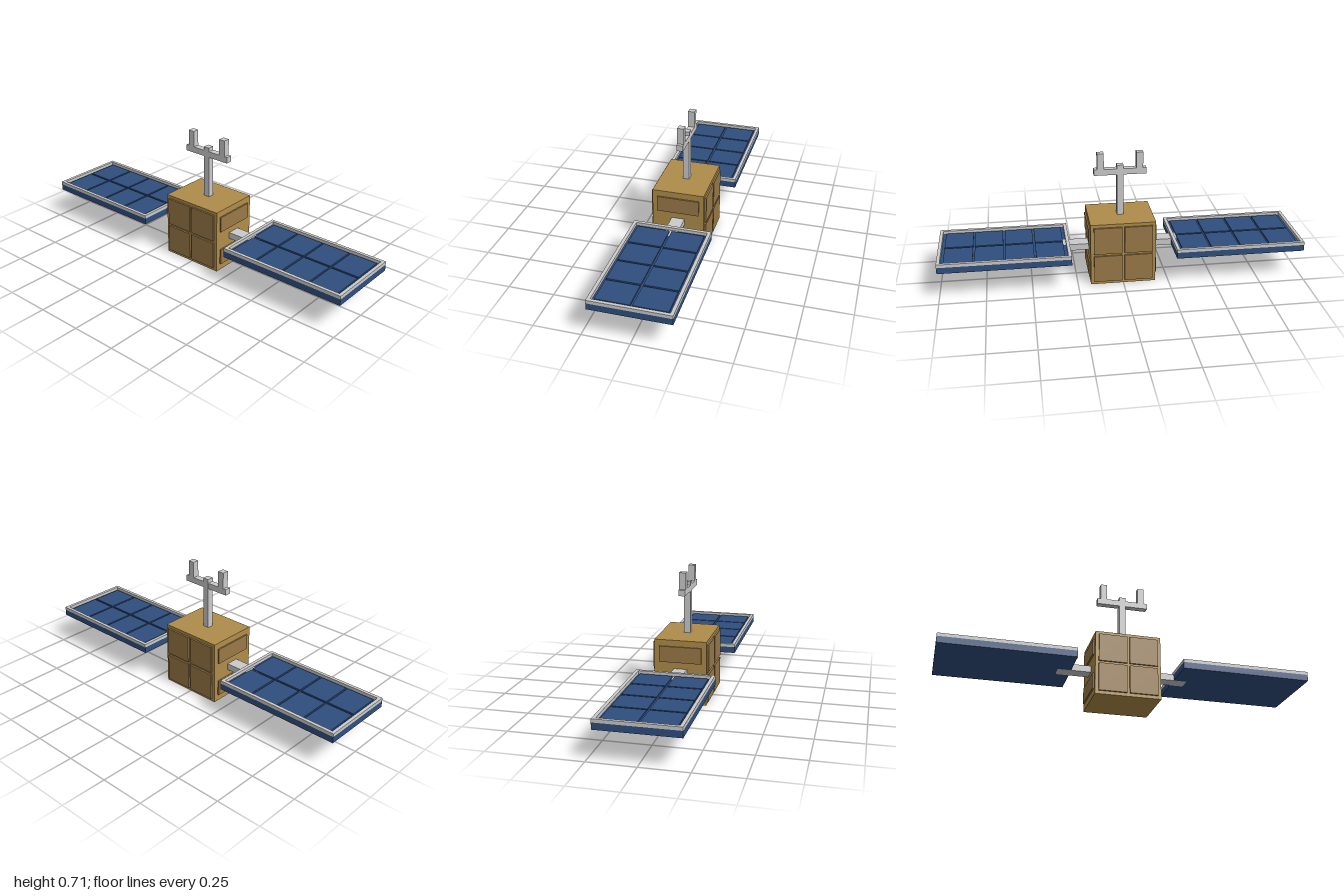
import * as THREE from 'three';

const mat = (color) => new THREE.MeshStandardMaterial({ color, flatShading: true });

export function createModel() {
  const model = new THREE.Group();
  const gold = mat(0xb08d4a), bronze = mat(0x9a7a48), blue = mat(0x2f4f7f), grey = mat(0xcccccc);

  // Box given by its extents along each axis
  const box = (name, material, [x0, x1], [y0, y1], [z0, z1], parent = model) => {
    const mesh = new THREE.Mesh(new THREE.BoxGeometry(x1 - x0, y1 - y0, z1 - z0), material);
    mesh.position.set((x0 + x1) / 2, (y0 + y1) / 2, (z0 + z1) / 2);
    mesh.name = name;
    parent.add(mesh);
    return mesh;
  };
  const around = (c, half) => [c - half, c + half];

  // Body
  box('body', gold, [-0.179, 0.179], [0, 0.357], [-0.143, 0.143]);

  // Four cover plates on front and back, two on each side
  for (const s of [-1, 1]) {
    for (const y of [0.095, 0.262]) {
      for (const x of [-0.084, 0.084]) {
        box(s > 0 ? 'frontPlate' : 'backPlate', bronze,
          around(x, 0.077), around(y, 0.077), around(s * 0.147, 0.006));
      }
    }
    for (const y of [0.081, 0.278]) {
      box(s > 0 ? 'leftPlate' : 'rightPlate', bronze,
        around(s * 0.182, 0.005), around(y, 0.044), [-0.116, 0.116]);
    }
  }

  // Antenna: mast, crossbar and two prongs
  const antenna = new THREE.Group();
  antenna.name = 'antenna';
  model.add(antenna);
  box('mast', grey, [-0.018, 0.018], [0.357, 0.646], [-0.018, 0.018], antenna);
  box('crossbar', grey, [-0.143, 0.143], [0.592, 0.625], [-0.0178, 0.0178], antenna);
  for (const s of [-1, 1]) {
    box('prong', grey, around(s * 0.107, 0.018), [0.625, 0.715], [-0.018, 0.018], antenna);
  }

  // Solar wings
  for (const s of [-1, 1]) {
    const wing = new THREE.Group();
    wing.name = s > 0 ? 'leftWing' : 'rightWing';
    model.add(wing);
    box('strut', grey, around(s * 0.268, 0.09), [0.1615, 0.198], [-0.036, 0.036], wing);
    box('panelBase', blue, around(s * 0.643, 0.357), [0.162, 0.197], [-0.214, 0.214], wing);

    // Raised rim
    for (const x of [0.295, 0.991]) {
      box('rimEnd', grey, around(s * x, 0.009), [0.197, 0.215], [-0.214, 0.214], wing);
    }
    for (const z of [-0.205, 0.205]) {
      box('rimSide', grey, around(s * 0.643, 0.339), [0.197, 0.215], around(z, 0.009), wing);
    }

    // Cells in a 4 by 2 grid
    for (let i = 0; i < 4; i++) {
      for (const z of [-0.095, 0.095]) {
        box('solarCell', blue, around(s * (0.643 + (i - 1.5) * 0.164), 0.077),
          [0.196, 0.205], around(z, 0.089), wing);
      }
    }
  }
  return model;
}
